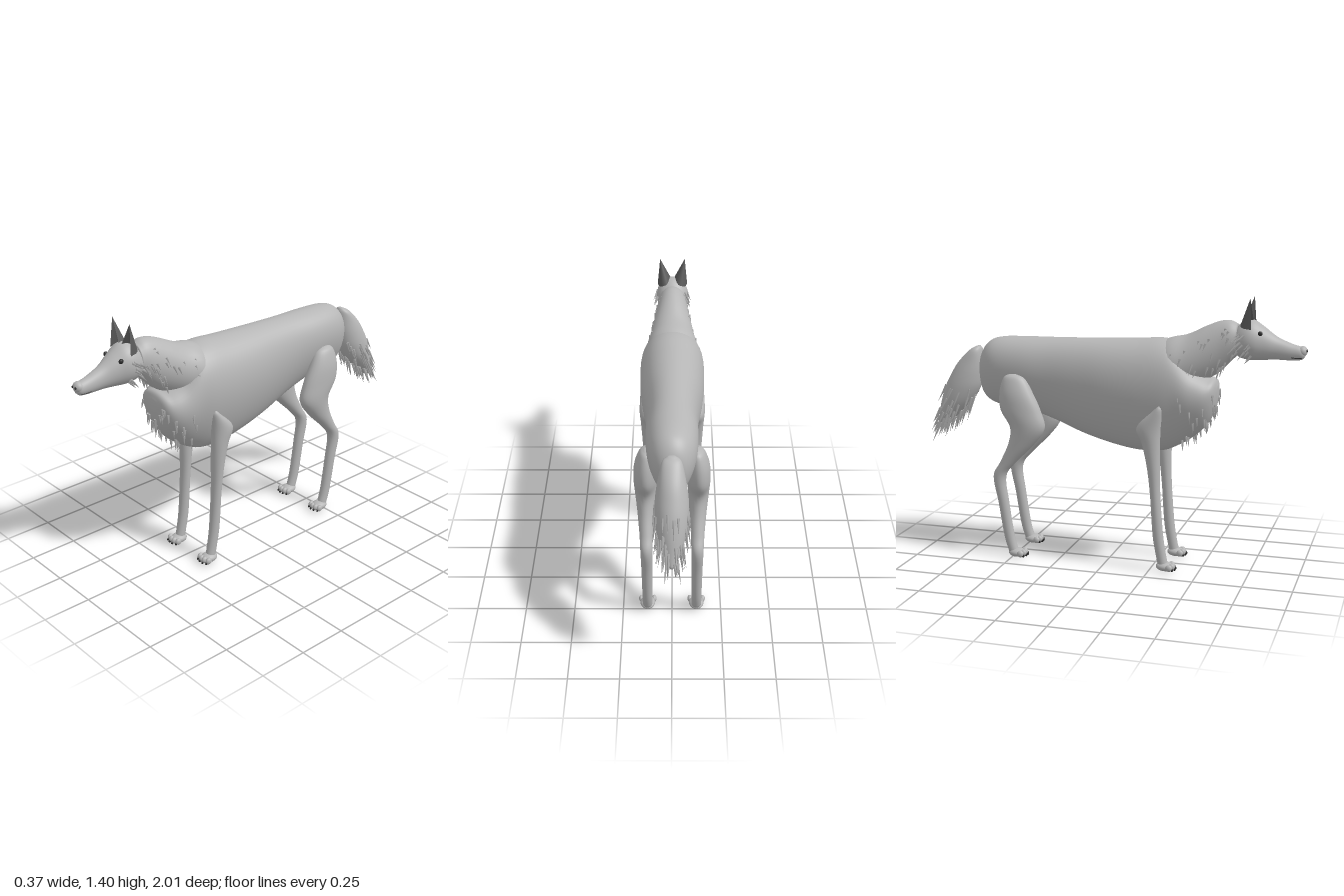
import * as THREE from 'three';
import { mergeGeometries } from 'three/addons/utils/BufferGeometryUtils.js';

// Smooth surface through rows [station, edgeA, edgeB, halfWidth, centreX].
// Axis 'z': stations run back to front, edges are top and bottom.
// Axis 'y': stations run from top to bottom, edges are front and back.
function sampler(axis, rows, egg = 0) {
  const a = new THREE.CatmullRomCurve3(rows.map(r => new THREE.Vector3(r[0], r[1], r[2])), false, 'catmullrom');
  const b = new THREE.CatmullRomCurve3(rows.map(r => new THREE.Vector3(r[3], r[4] || 0, 0)), false, 'catmullrom');
  return (t, angle, scale = 1) => {
    const p = a.getPoint(t), q = b.getPoint(t);
    const s = Math.sin(angle);
    const x = q.y + Math.max(q.x, 0.002) * Math.cos(angle) * (1 + egg * s) * scale;
    const m = (p.y + p.z) / 2 + Math.max((p.y - p.z) / 2, 0.002) * s * scale;
    return axis === 'z' ? new THREE.Vector3(x, m, p.x) : new THREE.Vector3(x, p.x, m);
  };
}

function loft(surface, rings, sides = 32) {
  const pos = [], index = [];
  for (let i = -1; i <= rings + 1; i++) {
    const t = Math.min(Math.max(i / rings, 0), 1);
    const scale = i < 0 || i > rings ? 0 : 1; // closed ends
    for (let j = 0; j < sides; j++) pos.push(...surface(t, (j / sides) * Math.PI * 2, scale).toArray());
  }
  for (let i = 0; i < rings + 2; i++) {
    for (let j = 0; j < sides; j++) {
      const k = (j + 1) % sides;
      const a = i * sides + j, b = i * sides + k, c = a + sides, d = b + sides;
      index.push(a, b, c, b, d, c);
    }
  }
  const g = new THREE.BufferGeometry();
  g.setAttribute('position', new THREE.Float32BufferAttribute(pos, 3));
  g.setIndex(index);
  g.computeVertexNormals();
  return g;
}

function random(seed) {
  return () => (seed = (seed * 16807) % 2147483647) / 2147483647;
}

// Pointed locks of hair lying on a surface.
function fur(surface, count, seed, tRange, angleRange, flow, length, lift) {
  const rnd = random(seed), locks = [];
  const within = ([lo, hi]) => lo + (hi - lo) * rnd();
  for (let i = 0; i < count; i++) {
    const t = within(tRange), angle = within(angleRange);
    const root = surface(t, angle, 0.98);
    const out = root.clone().sub(surface(t, angle, 0)).normalize();
    const dir = new THREE.Vector3(...flow).normalize().addScaledVector(out, lift).normalize();
    const l = length * (0.6 + 0.6 * rnd());
    const g = new THREE.ConeGeometry(0.008, l, 4).translate(0, l / 2, 0);
    g.applyQuaternion(new THREE.Quaternion().setFromUnitVectors(new THREE.Vector3(0, 1, 0), dir));
    locks.push(g.translate(root.x, root.y, root.z));
  }
  return mergeGeometries(locks);
}

// Cupped ear, open to the front.
function earGeometry(side) {
  const inner = new THREE.Vector3(0.006, 1.285, 0.735);
  const outer = new THREE.Vector3(0.08, 1.255, 0.735);
  const tip = new THREE.Vector3(0.066, 1.405, 0.725);
  const g = new THREE.PlaneGeometry(1, 1, 10, 8), p = g.attributes.position;
  for (let i = 0; i < p.count; i++) {
    const u = p.getX(i) + 0.5, v = p.getY(i) + 0.5;
    const q = inner.clone().lerp(outer, u).lerp(tip, v);
    const bulge = Math.sqrt(Math.max(0, 1 - (2 * u - 1) ** 2)) * (1 - v);
    p.setXYZ(i, q.x * side, q.y, q.z - 0.06 * bulge);
  }
  g.computeVertexNormals();
  return g;
}

export function createModel() {
  const model = new THREE.Group();
  model.name = 'longLeggedCanine';
  const coat = new THREE.MeshStandardMaterial({ color: 0xb6b6b6 });
  coat.name = 'grey coat';
  const earGrey = new THREE.MeshStandardMaterial({ color: 0x5c5c5c, side: THREE.DoubleSide });
  earGrey.name = 'dark ear';
  const dark = new THREE.MeshStandardMaterial({ color: 0x2c2c2c });
  dark.name = 'eye and claw';

  const add = (name, geometry, material = coat, parent = model) => {
    const mesh = new THREE.Mesh(geometry, material);
    mesh.name = name;
    parent.add(mesh);
    return mesh;
  };
  const ball = (name, r, at, material = coat, parent = model) => {
    const mesh = add(name, new THREE.SphereGeometry(1, 20, 14), material, parent);
    mesh.scale.set(...r);
    mesh.position.set(...at);
    return mesh;
  };

  // Torso with a deep chest and tucked belly
  const torso = sampler('z', [
    [-0.708, 0.99, 0.93, 0.02], [-0.695, 1.08, 0.865, 0.055], [-0.65, 1.14, 0.82, 0.09],
    [-0.58, 1.163, 0.80, 0.112], [-0.45, 1.168, 0.785, 0.122], [-0.3, 1.17, 0.74, 0.122],
    [-0.15, 1.173, 0.68, 0.133], [0, 1.177, 0.635, 0.15], [0.15, 1.183, 0.607, 0.16],
    [0.28, 1.19, 0.61, 0.162], [0.36, 1.165, 0.64, 0.156], [0.44, 1.06, 0.69, 0.145],
    [0.51, 1.01, 0.755, 0.125], [0.55, 0.995, 0.83, 0.09], [0.565, 0.96, 0.9, 0.03],
  ], 0.25);
  add('torso', loft(torso, 70, 48));
  add('chestFur', fur(torso, 46, 11, [0.74, 0.96], [Math.PI * 0.95, Math.PI * 2.05], [0, -1, 0.1], 0.055, 0.22));

  // Neck
  const neck = sampler('z', [
    [0.26, 1.17, 0.9, 0.115], [0.33, 1.197, 0.91, 0.136], [0.41, 1.215, 0.94, 0.12],
    [0.5, 1.258, 0.985, 0.1], [0.57, 1.285, 1.03, 0.085], [0.62, 1.29, 1.08, 0.077],
    [0.66, 1.272, 1.12, 0.066],
  ]);
  add('neck', loft(neck, 36));
  for (const [i, start] of [-0.35, 0.75].entries()) {
    add('neckFur', fur(neck, 30, 23 + i, [0.2, 0.95],
      [start * Math.PI, (start + 0.6) * Math.PI], [0, -1, -0.25], 0.055, 0.25));
  }

  // Head and muzzle
  const head = sampler('z', [
    [0.645, 1.23, 1.15, 0.045], [0.66, 1.265, 1.115, 0.07], [0.7, 1.295, 1.1, 0.084],
    [0.74, 1.294, 1.097, 0.082], [0.79, 1.262, 1.1, 0.063], [0.85, 1.218, 1.104, 0.044],
    [0.92, 1.187, 1.103, 0.034], [0.97, 1.172, 1.107, 0.029], [0.988, 1.16, 1.12, 0.018],
  ]);
  add('head', loft(head, 40));
  ball('nose', [0.028, 0.026, 0.024], [0, 1.15, 0.976]);
  for (const [i, start] of [-0.3, 0.85].entries()) {
    add('cheekFur', fur(head, 14, 41 + i, [0.12, 0.36],
      [start * Math.PI, (start + 0.45) * Math.PI], [0, -0.7, -0.8], 0.055, 0.35));
  }

  for (const side of [1, -1]) {
    // Face details
    add('ear', earGeometry(side), earGrey);
    ball('eye', [0.009, 0.012, 0.012], [side * 0.06, 1.236, 0.776], dark);
    ball('nostril', [0.006, 0.006, 0.004], [side * 0.011, 1.152, 0.997], dark);
    const lip = [[0.76, 1.0], [0.83, 1.16], [0.9, 1.17]].map(([t, a]) =>
      head(t, -0.19 * Math.PI * a, 1.01).multiply(new THREE.Vector3(side, 1, 1)));
    add('mouth', new THREE.TubeGeometry(new THREE.CatmullRomCurve3(lip), 12, 0.0025, 6), dark);

    // Legs
    const front = sampler('y', [
      [0.87, 0.305, 0.29, 0.012, side * 0.143], [0.84, 0.312, 0.262, 0.03, side * 0.138],
      [0.75, 0.302, 0.178, 0.042, side * 0.132], [0.67, 0.299, 0.205, 0.041, side * 0.128],
      [0.55, 0.299, 0.232, 0.036, side * 0.126], [0.4, 0.302, 0.25, 0.03, side * 0.125],
      [0.2, 0.318, 0.264, 0.027, side * 0.125], [0.1, 0.333, 0.28, 0.025, side * 0.125],
      [0.03, 0.348, 0.295, 0.025, side * 0.125],
    ]);
    add('frontLeg', loft(front, 40, 24));
    const hind = sampler('y', [
      [0.987, -0.465, -0.505, 0.012, side * 0.118], [0.965, -0.42, -0.537, 0.034, side * 0.122],
      [0.89, -0.375, -0.556, 0.052, side * 0.128], [0.8, -0.333, -0.55, 0.056, side * 0.13],
      [0.71, -0.313, -0.5, 0.053, side * 0.13], [0.62, -0.375, -0.513, 0.044, side * 0.128],
      [0.52, -0.475, -0.56, 0.034, side * 0.126], [0.44, -0.532, -0.6, 0.03, side * 0.125],
      [0.3, -0.518, -0.575, 0.027, side * 0.125], [0.12, -0.49, -0.546, 0.025, side * 0.125],
      [0.03, -0.465, -0.52, 0.025, side * 0.125],
    ]);
    add('hindLeg', loft(hind, 50, 24));

    // Paws with four toes and claws
    for (const [name, z] of [['frontPaw', 0.33], ['hindPaw', -0.475]]) {
      const paw = new THREE.Group();
      paw.name = name;
      paw.position.set(side * 0.125, 0, z);
      model.add(paw);
      ball('pad', [0.038, 0.024, 0.047], [0, 0.03, 0], coat, paw);
      for (const k of [-1.5, -0.5, 0.5, 1.5]) {
        const reach = 0.04 - Math.abs(k) * 0.008;
        ball('toe', [0.0125, 0.018, 0.018], [k * 0.022, 0.031, reach], coat, paw);
        ball('claw', [0.004, 0.008, 0.008], [k * 0.022, 0.022, reach + 0.016], dark, paw);
      }
    }
  }

  // Bushy tail
  const tail = sampler('y', [
    [1.108, -0.712, -0.73, 0.015], [1.085, -0.702, -0.77, 0.045], [1.02, -0.695, -0.835, 0.062],
    [0.95, -0.702, -0.88, 0.074], [0.88, -0.722, -0.915, 0.078], [0.8, -0.775, -0.94, 0.07],
    [0.72, -0.86, -0.957, 0.045], [0.66, -0.93, -0.97, 0.012],
  ]);
  add('tail', loft(tail, 36));
  add('tailFur', fur(tail, 90, 77, [0.5, 0.95], [0, Math.PI * 2], [0, -1, -0.42], 0.1, 0.14));
  return model;
}
